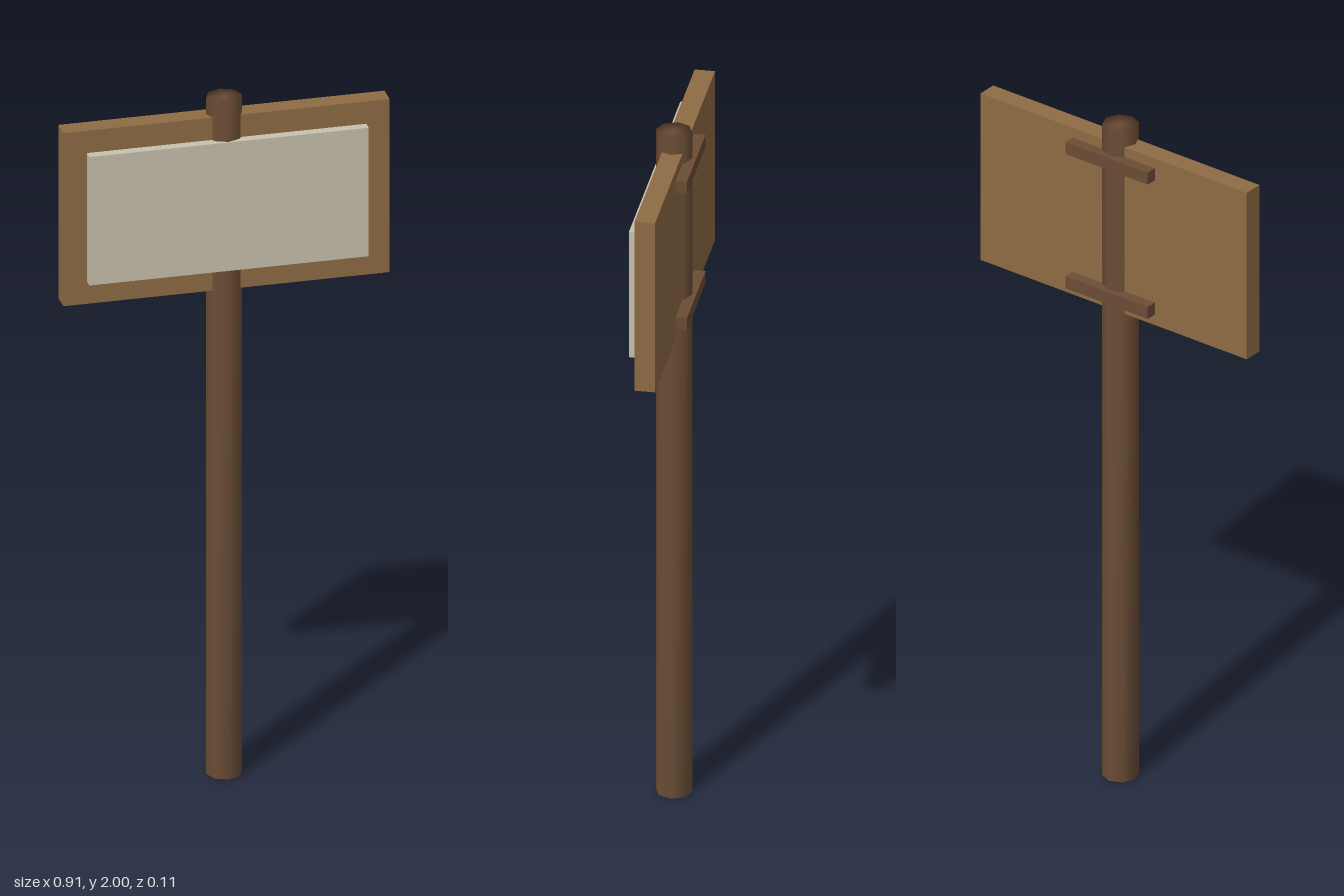
import * as THREE from 'three';
import { mergeVertices } from 'three/addons/utils/BufferGeometryUtils.js';

function material(name, color) {
  const m = new THREE.MeshStandardMaterial({ color });
  m.name = name;
  return m;
}

export function createModel() {
  const group = new THREE.Group();
  group.name = 'signpost';
  const boardWood = material('board wood', 0x8f6b45);
  const darkWood = material('dark wood', 0x6b4d35);
  const paper = material('pale panel', 0xc8c1ae);

  const add = (name, geometry, mat, x, y, z) => {
    const mesh = new THREE.Mesh(geometry, mat);
    mesh.name = name;
    mesh.position.set(x, y, z);
    group.add(mesh);
  };
  // Box given by its width and its y and z ranges
  const slab = (name, mat, width, y0, y1, z0, z1) =>
    add(name, new THREE.BoxGeometry(width, y1 - y0, z1 - z0), mat, 0, (y0 + y1) / 2, (z0 + z1) / 2);

  // Eight-sided post, its normals shared across sides and caps
  let post = new THREE.CylinderGeometry(0.05, 0.05, 2, 8);
  post.deleteAttribute('normal');
  post.deleteAttribute('uv');
  post = mergeVertices(post);
  post.computeVertexNormals();
  add('post', post, darkWood, 0, 1, 0.004);

  // Board with a raised panel on the front
  slab('board', boardWood, 0.906, 1.44, 1.952, -0.026, 0.03);
  slab('panel', paper, 0.776, 1.506, 1.886, 0.03, 0.057);

  // Two battens across the back of the post
  slab('upperBatten', darkWood, 0.28, 1.885, 1.922, -0.057, -0.026);
  slab('lowerBatten', darkWood, 0.28, 1.472, 1.509, -0.057, -0.026);

  return group;
}
